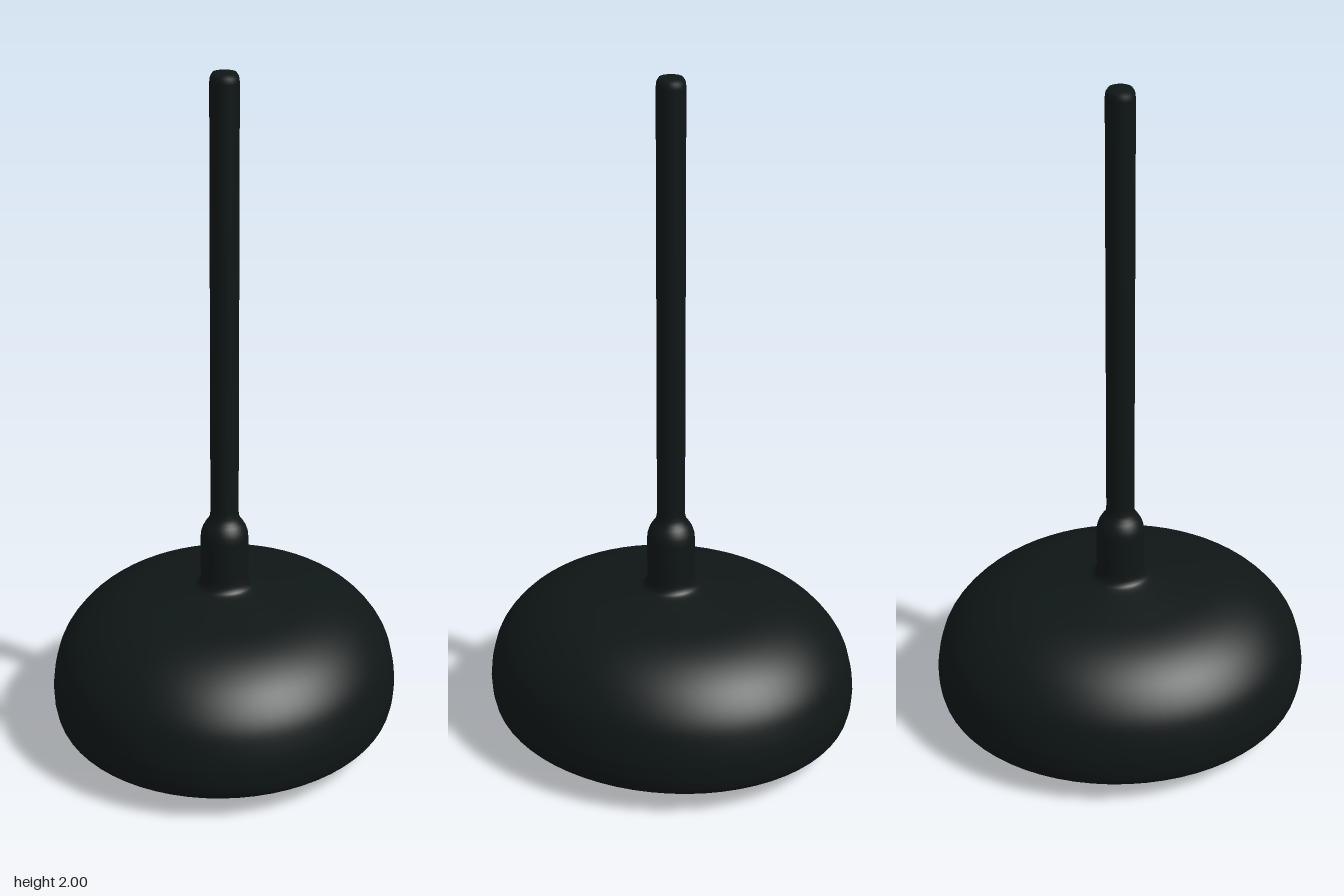
import * as THREE from 'three';
import { mergeVertices } from 'three/addons/utils/BufferGeometryUtils.js';

const vectors = (pairs) => pairs.map(([x, y]) => new THREE.Vector2(x, y));
const curve = (pairs, n) => new THREE.SplineCurve(vectors(pairs)).getPoints(n);

function part(name, geometry, material) {
  const mesh = new THREE.Mesh(geometry, material);
  mesh.name = name;
  return mesh;
}

// Lathe whose cross-section widens from a circle at the neck to an oval at the rim
function ovalLathe(points) {
  const geo = new THREE.LatheGeometry(points, 64);
  const pos = geo.attributes.position;
  for (let i = 0; i < pos.count; i++) {
    const r = Math.hypot(pos.getX(i), pos.getZ(i));
    pos.setZ(i, pos.getZ(i) * (1 + 0.09 * THREE.MathUtils.smoothstep(r, 0.07, 0.3)));
  }
  geo.deleteAttribute('uv');
  geo.deleteAttribute('normal');
  const merged = mergeVertices(geo, 1e-5);
  merged.computeVertexNormals();
  return merged;
}

export function createModel() {
  const dark = new THREE.MeshStandardMaterial({ color: 0x0f1616, side: THREE.DoubleSide });
  const yellow = new THREE.MeshStandardMaterial({ color: 0x554a0b });
  const lamp = new THREE.Group();
  lamp.name = 'pendantLamp';

  // Shade: inner wall downwards, rolled lip, then outer wall up to the neck
  const inner = curve([[0, 0.43], [0.14, 0.425], [0.27, 0.407], [0.37, 0.363],
    [0.44, 0.285], [0.473, 0.2], [0.474, 0.14], [0.46, 0.1]], 30);
  const lip = curve([[0.452, 0.085], [0.45, 0.072], [0.46, 0.064], [0.475, 0.065],
    [0.489, 0.074], [0.499, 0.092], [0.506, 0.125]], 20);
  const outer = curve([[0.508, 0.165], [0.502, 0.215], [0.486, 0.275], [0.455, 0.327],
    [0.41, 0.374], [0.35, 0.412], [0.28, 0.437], [0.2, 0.451], [0.14, 0.46], [0.09, 0.469],
    [0.075, 0.48], [0.07, 0.5], [0.07, 0.53]], 50);
  lamp.add(part('shade', ovalLathe([...inner, ...lip, ...outer]), dark));

  // Neck collar with a rounded shoulder around the stem
  const collar = vectors([[0.07, 0.52], [0.07, 0.625], [0.068, 0.643], [0.063, 0.658],
    [0.055, 0.672], [0.047, 0.682], [0.042, 0.695], [0.041, 0.71]]);
  lamp.add(part('neckCollar', new THREE.LatheGeometry(collar, 40), dark));

  // Hanging stem with a softened top edge
  const stem = vectors([[0.041, 0.68], [0.041, 1.975], [0.039, 1.99], [0.033, 2], [0, 2]]);
  lamp.add(part('stem', new THREE.LatheGeometry(stem, 32), dark));

  // Socket above the bulb
  const socket = new THREE.CylinderGeometry(0.06, 0.06, 0.13, 32).translate(0, 0.37, 0);
  lamp.add(part('socket', socket, dark));

  // Round bulb hanging just below the rim
  const bulb = new THREE.SphereGeometry(0.165, 40, 28).translate(0, 0.165, 0);
  lamp.add(part('bulb', bulb, yellow));

  return lamp;
}
